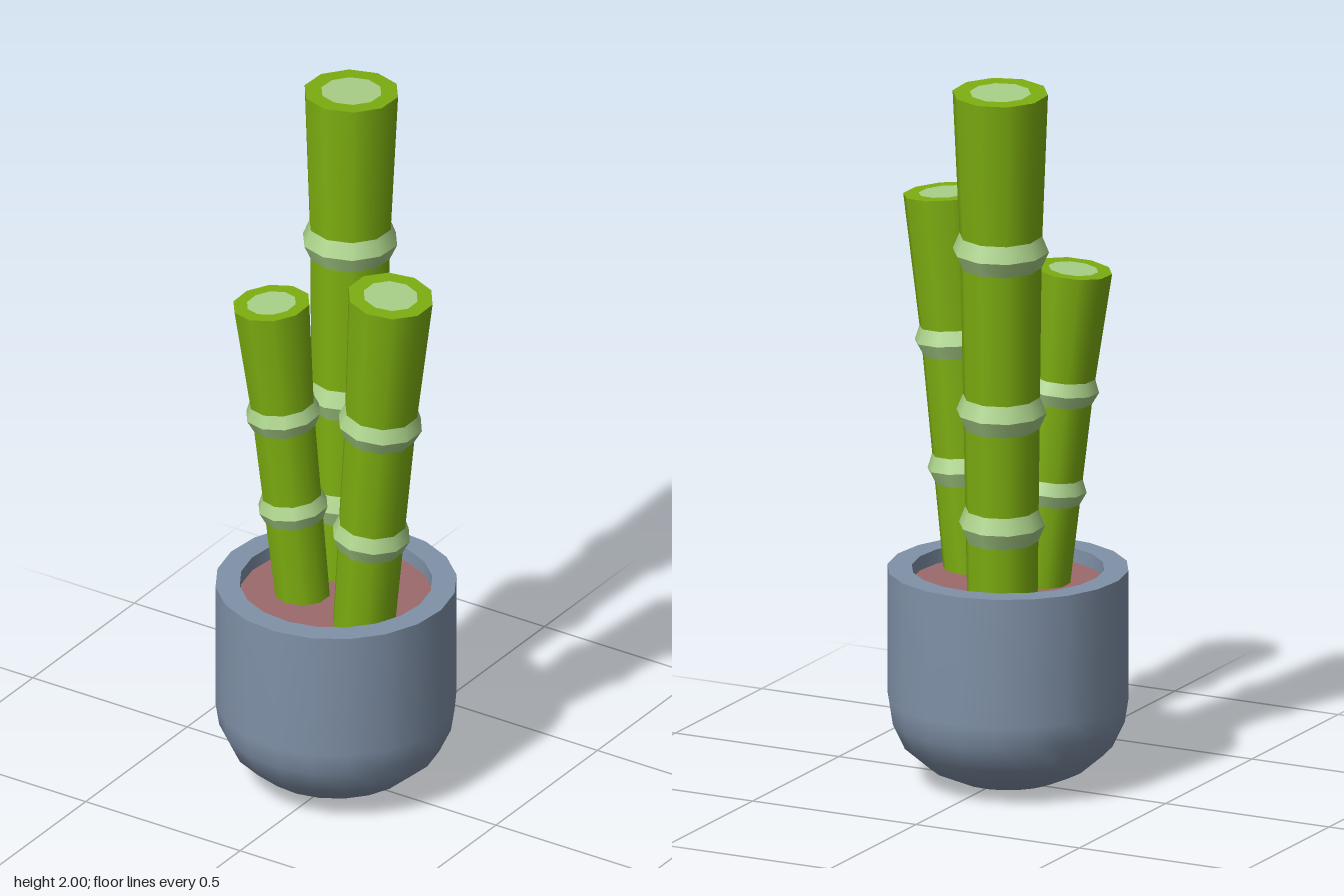
import * as THREE from 'three';

const mat = (name, color) => {
  const m = new THREE.MeshStandardMaterial({ color });
  m.name = name;
  return m;
};

// Revolve a profile of [radius, height] pairs, listed upwards on the outside
function turned(name, profile, sides, material) {
  const points = profile.map(([r, y]) => new THREE.Vector2(r, y));
  const mesh = new THREE.Mesh(new THREE.LatheGeometry(points, sides), material);
  mesh.name = name;
  return mesh;
}

// One leaning bamboo cane: base and top are axis points, nodes are ring heights,
// radii are those at the base, at the last node and at the top
function cane(name, base, top, nodes, radii, green, pale) {
  const group = new THREE.Group();
  group.name = name;
  const from = new THREE.Vector3(...base);
  const axis = new THREE.Vector3(...top).sub(from);
  const length = axis.length();
  axis.normalize();
  group.position.copy(from);
  group.quaternion.setFromUnitVectors(new THREE.Vector3(0, 1, 0), axis);

  const rings = nodes.map((y) => (y - base[1]) / axis.y);
  const last = rings[rings.length - 1];
  const radiusAt = (d) => d < last
    ? THREE.MathUtils.lerp(radii[0], radii[1], d / last)
    : THREE.MathUtils.lerp(radii[1], radii[2], (d - last) / (length - last));
  const add = (part, profile, material) => group.add(turned(part, profile, 10, material));

  // Green stem sections with a pale double-cone ring between them
  const h = 0.4 * radii[1];
  let start = 0;
  for (const d of rings) {
    const low = [radiusAt(d - h), d - h];
    const wide = [radiusAt(d) * 1.18, d];
    const high = [radiusAt(d + h), d + h];
    add('stemSection', [[radiusAt(start), start], low], green);
    add('ringLower', [low, wide], pale);
    add('ringUpper', [wide, high], pale);
    start = d + h;
  }
  add('stemSection', [[radiusAt(start), start], [radii[2], length]], green);

  // Cut end: green rim around a pale core
  const core = radii[2] * 0.64;
  add('cutRim', [[radii[2], length], [core, length]], green);
  add('cutCore', [[core, length], [0, length]], pale);
  return group;
}

export function createModel() {
  const green = mat('bamboo green', 0x7dae10);
  const pale = mat('pale green', 0xa9d088);
  const glaze = mat('blue grey pot', 0x8091a8);
  const earth = mat('red brown soil', 0x9c6a6b);

  const model = new THREE.Group();
  model.name = 'pottedBamboo';

  // Round-bottomed pot
  const pot = new THREE.Group();
  pot.name = 'pot';
  pot.position.set(-0.016, 0, 0.003);
  pot.rotation.y = 0.06;
  pot.add(
    turned('potBody', [[0, 0], [0.14, 0.012], [0.215, 0.045], [0.285, 0.105],
      [0.318, 0.175], [0.328, 0.24], [0.328, 0.6]], 20, glaze),
    turned('potRim', [[0.328, 0.6], [0.262, 0.6]], 20, glaze),
    turned('potInnerWall', [[0.262, 0.6], [0.262, 0.56]], 20, glaze),
    turned('soil', [[0.262, 0.56], [0, 0.56]], 20, earth),
  );
  model.add(pot);

  // Three canes leaning outwards
  model.add(
    cane('tallCane', [-0.075, 0.5, -0.141], [-0.099, 1.996, -0.199],
      [0.77, 1.09, 1.548], [0.096, 0.112, 0.131], green, pale),
    cane('leftCane', [0.126, 0.5, 0.088], [0.226, 1.6, 0.102],
      [0.84, 1.195], [0.085, 0.099, 0.118], green, pale),
    cane('rightCane', [-0.093, 0.5, 0.042], [-0.178, 1.443, 0.075],
      [0.825, 1.108], [0.076, 0.088, 0.107], green, pale),
  );
  return model;
}
